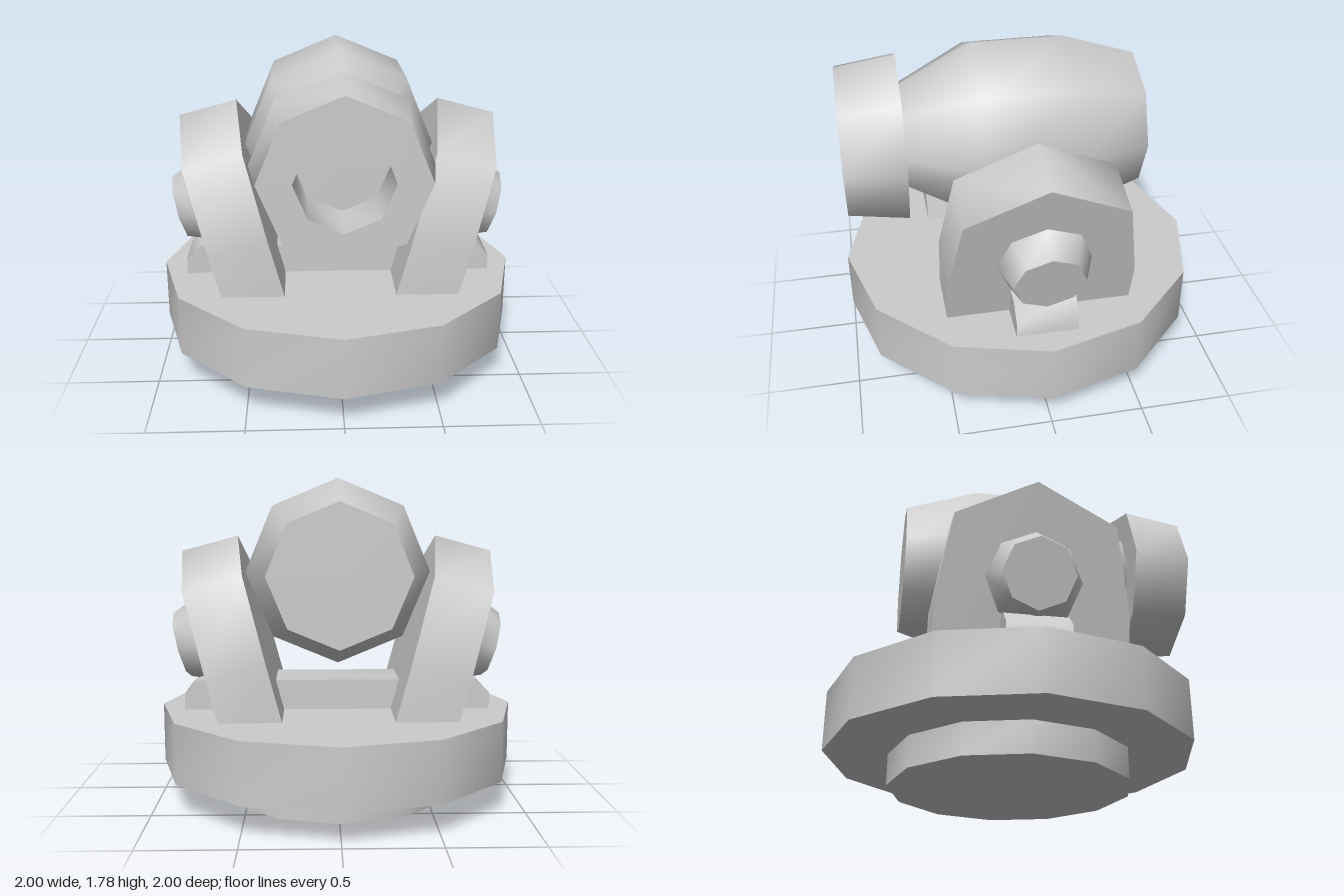
import * as THREE from 'three';
import { toCreasedNormals } from 'three/addons/utils/BufferGeometryUtils.js';

const material = new THREE.MeshStandardMaterial({ color: 0xcccccc });

function part(name, geometry, parent) {
  const mesh = new THREE.Mesh(toCreasedNormals(geometry, Math.PI / 3), material);
  mesh.name = name;
  parent.add(mesh);
  return mesh;
}

const points = (list) => list.map(([x, y]) => new THREE.Vector2(x, y));

// Eight-sided turned shape whose axis points to the front
const turned = (profile) => new THREE.LatheGeometry(points(profile), 8).rotateX(Math.PI / 2);

const extruded = (outline, depth) =>
  new THREE.ExtrudeGeometry(new THREE.Shape(points(outline)), { depth, bevelEnabled: false });

// Leaning side plate with its tapered bolt, on the +x side
function createSupport(name) {
  const support = new THREE.Group();
  support.name = name;
  const lean = new THREE.Group();
  lean.position.set(0.3, 0.5, 0);
  lean.rotation.z = -Math.PI / 12;
  support.add(lean);

  const thickness = 0.326;
  const outline = [[-0.5, -0.15], [0.5, -0.15], [0.5, 0.33], [0.42, 0.797], [0, 1], [-0.42, 0.797], [-0.5, 0.33]];
  part('supportPlate', extruded(outline, thickness).rotateY(Math.PI / 2), lean);

  const bolt = part('bolt', new THREE.CylinderGeometry(0.188, 0.25, 0.15, 8).rotateZ(-Math.PI / 2), lean);
  bolt.position.set(thickness + 0.075, 0.482, 0);
  return support;
}

export function createModel() {
  const model = new THREE.Group();
  model.name = 'mortar';

  // Turntable base
  part('foot', new THREE.CylinderGeometry(0.655, 0.655, 0.17, 12), model).position.y = 0.085;
  part('turntable', new THREE.CylinderGeometry(1, 1, 0.33, 12), model).position.y = 0.335;

  // Chamfered bar running under both supports
  const bar = [[-0.855, 0.45], [0.855, 0.45], [0.855, 0.59], [0.775, 0.667], [-0.775, 0.667], [-0.855, 0.59]];
  part('crossBar', extruded(bar, 0.33).translate(0, 0, -0.165), model);

  // Supports on both sides
  model.add(createSupport('leftSupport'));
  const right = createSupport('rightSupport');
  right.rotation.y = Math.PI;
  model.add(right);

  // Barrel with a hollow muzzle
  const gun = new THREE.Group();
  gun.name = 'gun';
  gun.position.y = 1.28;
  model.add(gun);
  part('barrel', turned([[0, -0.635], [0.375, -0.635], [0.5, -0.25], [0.5, 0.25], [0.29, 0.64], [0, 0.64]]), gun);
  part('muzzle', turned([[0.245, 0.64], [0.465, 0.64], [0.418, 0.96], [0.245, 0.96], [0.245, 0.64]]), gun);

  return model;
}
